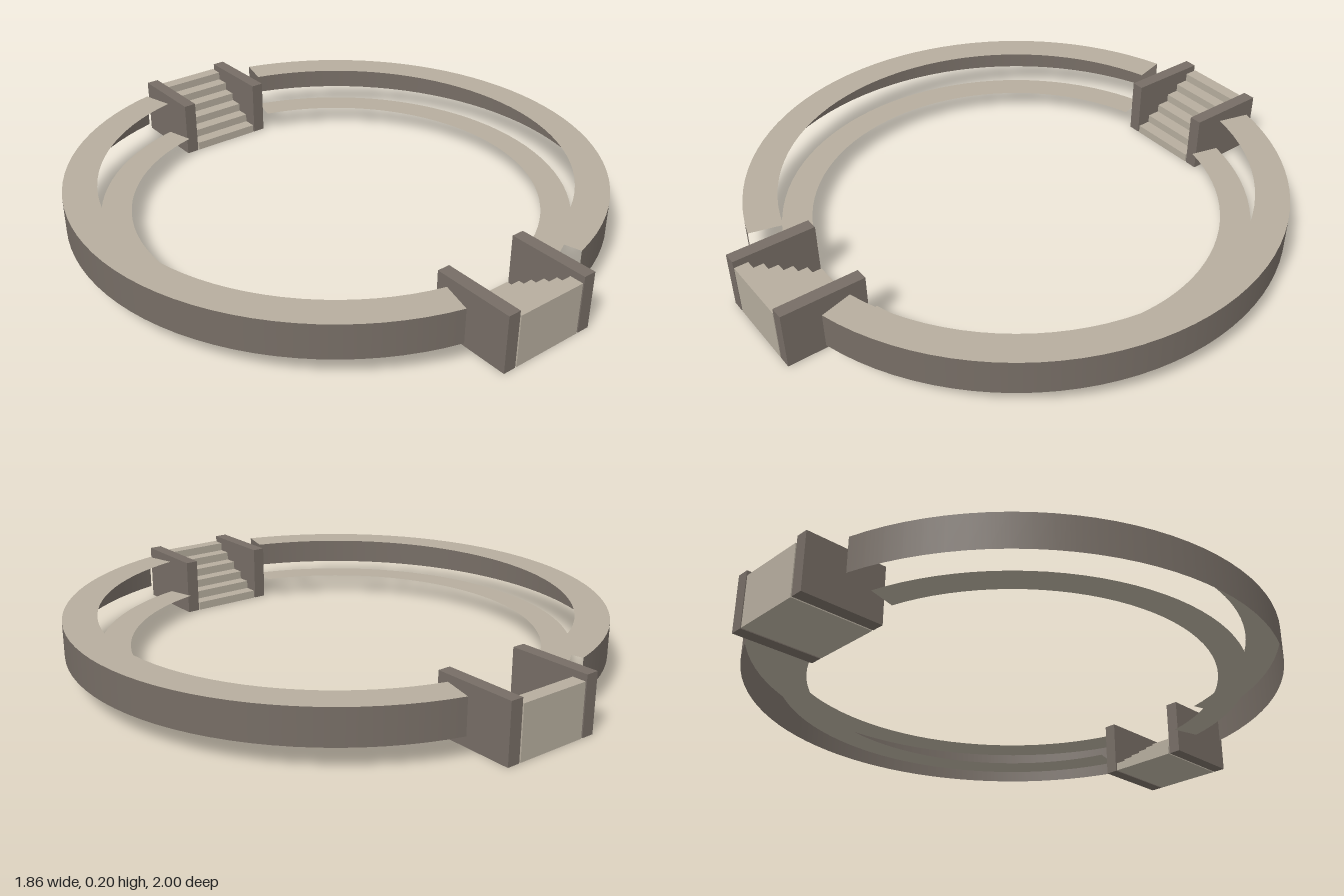
import * as THREE from 'three';

const SEGMENTS = 40;
const ARC_START = THREE.MathUtils.degToRad(15);
const ARC_LENGTH = THREE.MathUtils.degToRad(150);
const R_IN = 0.71, R_MID = 0.813, R_OUT = 0.928;
const Y_LOW = 0.075, Y_HIGH = 0.195;

export function createModel() {
  const stone = new THREE.MeshStandardMaterial({ color: 0xb6ad9e, side: THREE.DoubleSide });
  stone.name = 'light stone';
  const darkStone = new THREE.MeshStandardMaterial({ color: 0x766d65, side: THREE.DoubleSide });
  darkStone.name = 'dark stone';

  const model = new THREE.Group();
  model.name = 'ringPlatform';

  const add = (parent, name, geometry, material) => {
    const mesh = new THREE.Mesh(geometry, material);
    mesh.name = name;
    parent.add(mesh);
    return mesh;
  };

  // Flat curved strip on the +x side
  const flatArc = (inner, outer, y) =>
    new THREE.RingGeometry(inner, outer, SEGMENTS, 1, ARC_START - Math.PI / 2, ARC_LENGTH)
      .rotateX(-Math.PI / 2)
      .translate(0, y, 0);

  // Half ring: upper walkway, lower walkway and open outer wall
  const buildArc = (name) => {
    const arc = new THREE.Group();
    arc.name = name;
    add(arc, 'upperWalkway', flatArc(R_MID, R_OUT, Y_HIGH), stone);
    add(arc, 'lowerWalkway', flatArc(R_IN, R_MID, Y_LOW), stone);
    const height = Y_HIGH - Y_LOW;
    const wall = new THREE.CylinderGeometry(
      R_OUT, R_OUT, height, SEGMENTS, 1, true, ARC_START, ARC_LENGTH);
    add(arc, 'outerWall', wall, darkStone).position.y = Y_LOW + height / 2;
    return arc;
  };

  // Staircase at +z, climbing outwards between two side panels
  const buildStairs = (name) => {
    const stairs = new THREE.Group();
    stairs.name = name;
    const steps = 6, zIn = 0.712, zOut = 1, top = 0.18, halfWidth = 0.128;
    const run = (zOut - zIn) / steps, rise = top / steps;
    const profile = new THREE.Shape();
    profile.moveTo(zOut, 0);
    profile.lineTo(zOut, top);
    for (let i = steps - 1; i >= 0; i--) {
      profile.lineTo(zIn + i * run, (i + 1) * rise);
      profile.lineTo(zIn + i * run, i * rise);
    }
    const flight = new THREE.ExtrudeGeometry(profile, { depth: 2 * halfWidth, bevelEnabled: false })
      .rotateY(-Math.PI / 2)
      .translate(halfWidth, 0, 0);
    add(stairs, 'steps', flight, stone);
    for (const side of [-1, 1]) {
      const panel = add(stairs, side > 0 ? 'leftSidePanel' : 'rightSidePanel',
        new THREE.BoxGeometry(0.045, 0.2, zOut - zIn), darkStone);
      panel.position.set(side * 0.156, 0.1, (zIn + zOut) / 2);
    }
    return stairs;
  };

  // Opposite halves and staircases
  const rightArc = buildArc('rightArc');
  rightArc.rotation.y = Math.PI;
  const backStairs = buildStairs('backStairs');
  backStairs.rotation.y = Math.PI;
  model.add(buildArc('leftArc'), rightArc, buildStairs('frontStairs'), backStairs);
  return model;
}
